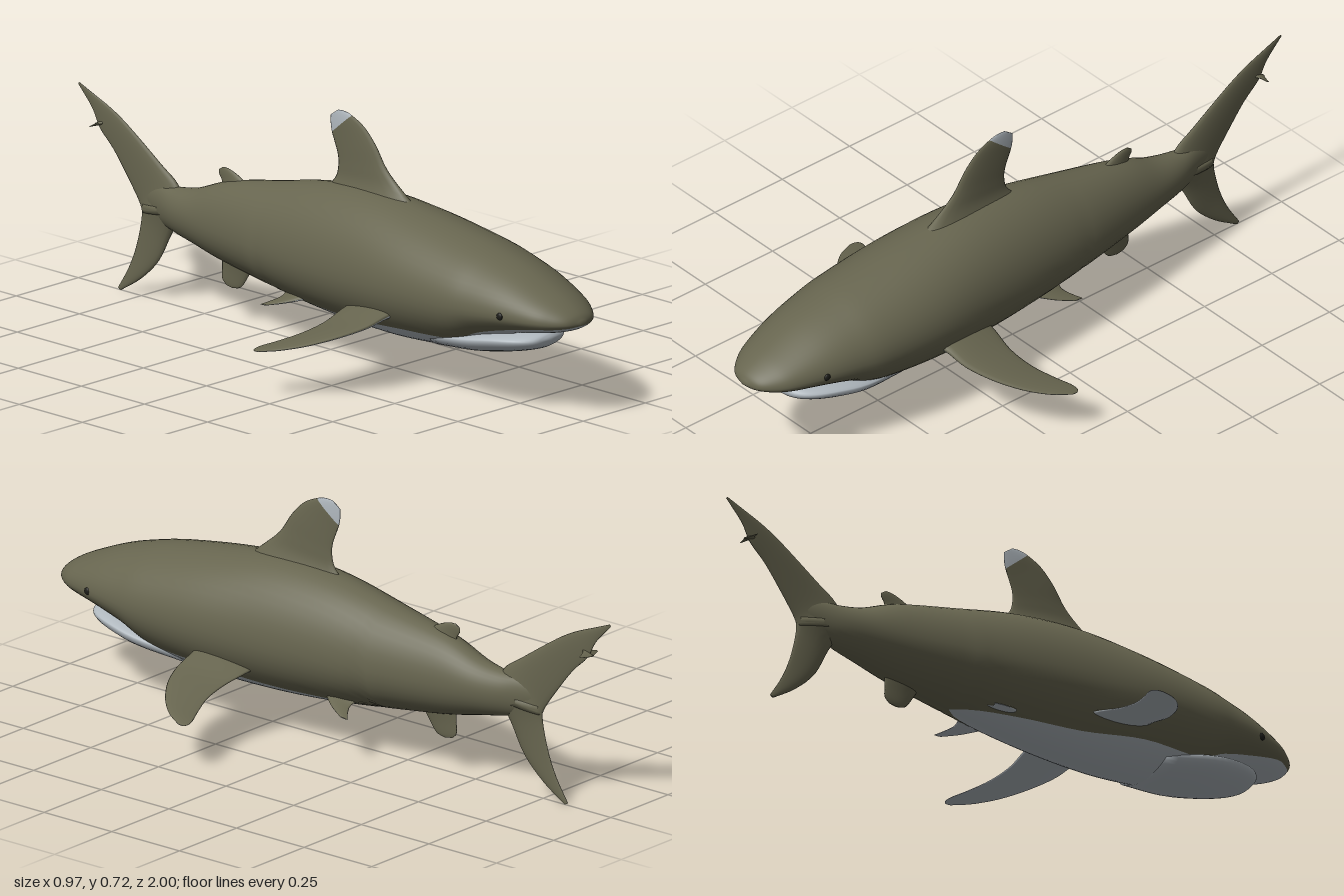
import * as THREE from 'three';
import { mergeVertices } from 'three/addons/utils/BufferGeometryUtils.js';

const material = (name, color) => Object.assign(new THREE.MeshStandardMaterial({ color }), { name });
const olive = material('olive skin', 0x67654f);
const pale = material('pale skin', 0xb0b8be);
const dark = material('dark eye', 0x1c1c18);

// Smoothly resample a table of rows
function resample(rows, steps) {
  const curve = new THREE.CubicInterpolant(rows.map((_, i) => i), rows.flat(), rows[0].length);
  const count = (rows.length - 1) * steps;
  return Array.from({ length: count + 1 }, (_, i) => Array.from(curve.evaluate(i / steps)));
}

// Skin a list of closed rings; pick(i, j) gives the material slot of each quad
function loft(name, rings, materials, pick = () => 0) {
  const n = rings[0].length, last = rings.length - 1;
  const points = rings.flat();
  const lists = materials.map(() => []);
  for (let i = 0; i < last; i++) {
    for (let j = 0; j < n; j++) {
      const a = i * n + j, b = i * n + (j + 1) % n;
      lists[pick(i, j)].push(a, a + n, b, b, a + n, b + n);
    }
  }
  // End caps
  for (const end of [0, last]) {
    const centre = rings[end].reduce((sum, p) => sum.add(p), new THREE.Vector3()).divideScalar(n);
    const c = points.push(centre) - 1;
    for (let j = 0; j < n; j++) {
      const a = end * n + j, b = end * n + (j + 1) % n;
      lists[pick(Math.min(end, last - 1), j)].push(...(end ? [a, c, b] : [a, b, c]));
    }
  }
  // Turn the faces outward if the enclosed volume is negative
  const index = lists.flat();
  let volume = 0;
  const cross = new THREE.Vector3();
  for (let k = 0; k < index.length; k += 3) {
    volume += points[index[k]].dot(cross.crossVectors(points[index[k + 1]], points[index[k + 2]]));
  }
  if (volume < 0) {
    for (let k = 0; k < index.length; k += 3) [index[k], index[k + 1]] = [index[k + 1], index[k]];
  }
  let geometry = new THREE.BufferGeometry().setFromPoints(points);
  geometry.setIndex(index);
  geometry = mergeVertices(geometry, 1e-5);
  let start = 0;
  lists.forEach((list, slot) => {
    geometry.addGroup(start, list.length, slot);
    start += list.length;
  });
  geometry.computeVertexNormals();
  const mesh = new THREE.Mesh(geometry, materials);
  mesh.name = name;
  return mesh;
}

// Body cross-section: full above the widest line, tapering to a keel below
function bodyPoint([z, top, bottom, mid, width], angle) {
  const s = Math.sin(angle), c = Math.cos(angle);
  const x = width * Math.sign(c) * Math.abs(c) ** (s > 0 ? 1.08 : 1.2);
  return new THREE.Vector3(x, mid + s * (s > 0 ? top - mid : mid - bottom), z);
}

// Ring whose first BACK segments lie above the colour line and the rest below
const BACK = 36, BELLY = 16;
function bodyRing(row) {
  const [, , bottom, mid, , line] = row;
  const edge = Math.asin(THREE.MathUtils.clamp((line - mid) / Math.max(mid - bottom, 1e-4), -1, 0));
  const ring = [];
  for (let j = 0; j < BACK; j++) ring.push(bodyPoint(row, edge + (Math.PI - 2 * edge) * j / BACK));
  for (let j = 0; j < BELLY; j++) {
    ring.push(bodyPoint(row, Math.PI - edge + (Math.PI + 2 * edge) * j / BELLY));
  }
  return ring;
}

// Fin rows: leading x, y, z, trailing x, y, z, half thickness
const SIDES = 20;
function fin(name, rows, thickDir, materials = [olive], pick, steps = 4) {
  const rings = resample(rows, steps).map(r => {
    const lead = new THREE.Vector3(r[0], r[1], r[2]), trail = new THREE.Vector3(r[3], r[4], r[5]);
    return Array.from({ length: SIDES }, (_, j) => {
      const a = j / SIDES * Math.PI * 2, t = (1 - Math.cos(a)) / 2;
      return lead.clone().lerp(trail, t).addScaledVector(thickDir, Math.sin(a) * r[6] * (1.2 - 0.6 * t));
    });
  });
  return loft(name, rings, materials, pick);
}
const X = new THREE.Vector3(1, 0, 0), Y = new THREE.Vector3(0, 1, 0);
// Upright fin rows: leading z, y, trailing z, y, half thickness
const upright = rows => rows.map(([lz, ly, tz, ty, h]) => [0, ly, lz, 0, ty, tz, h]);
// Side fin rows: x, leading y, z, trailing y, z, half thickness
const sideways = (rows, s) => rows.map(([x, ly, lz, ty, tz, h]) => [s * x, ly, lz, s * x, ty, tz, h]);

export function createModel() {
  const model = new THREE.Group();
  model.name = 'shark';

  // Body: z, top, bottom, widest height, half width, colour line
  const bodyRows = [
    [1.0, 0.296, 0.284, 0.29, 0.012, 0.284],
    [0.985, 0.317, 0.272, 0.291, 0.055, 0.28],
    [0.95, 0.341, 0.258, 0.292, 0.09, 0.276],
    [0.9, 0.366, 0.245, 0.295, 0.119, 0.272],
    [0.8, 0.408, 0.223, 0.3, 0.151, 0.252],
    [0.7, 0.438, 0.19, 0.3, 0.172, 0.226],
    [0.6, 0.461, 0.142, 0.3, 0.186, 0.188],
    [0.4, 0.493, 0.115, 0.3, 0.192, 0.178],
    [0.2, 0.512, 0.112, 0.298, 0.177, 0.157],
    [0, 0.498, 0.124, 0.295, 0.156, 0.152],
    [-0.2, 0.458, 0.148, 0.29, 0.127, 0.146],
    [-0.4, 0.415, 0.175, 0.288, 0.088, 0.12],
    [-0.52, 0.37, 0.2, 0.288, 0.064, 0.12],
    [-0.6, 0.354, 0.216, 0.289, 0.046, 0.12],
    [-0.67, 0.35, 0.235, 0.295, 0.025, 0.12],
    [-0.74, 0.33, 0.268, 0.3, 0.006, 0.12],
  ];
  model.add(loft('body', resample(bodyRows, 5).map(bodyRing), [olive, pale], (i, j) => (j < BACK ? 0 : 1)));

  // Lower jaw
  const jawRows = [
    [0.872, 0.222, 0.212, 0.217, 0.015, 0],
    [0.86, 0.234, 0.194, 0.216, 0.062, 0],
    [0.82, 0.238, 0.178, 0.215, 0.1, 0],
    [0.75, 0.233, 0.16, 0.21, 0.127, 0],
    [0.65, 0.218, 0.142, 0.195, 0.138, 0],
    [0.5, 0.19, 0.125, 0.17, 0.11, 0],
  ];
  model.add(loft('lowerJaw', resample(jawRows, 4).map(bodyRing), [pale]));

  // Dorsal fin with a pale tip
  model.add(fin('dorsalFin', upright([
    [0.37, 0.46, -0.05, 0.45, 0.05],
    [0.28, 0.53, 0.015, 0.51, 0.021],
    [0.222, 0.58, 0.03, 0.55, 0.014],
    [0.18, 0.64, 0.028, 0.585, 0.011],
    [0.135, 0.685, 0.015, 0.62, 0.008],
    [0.085, 0.71, 0.005, 0.645, 0.006],
    [0.055, 0.717, 0.0, 0.67, 0.004],
    [0.03, 0.716, 0.0, 0.695, 0.002],
  ]), X, [olive, pale], i => (i < 20 ? 0 : 1)));

  // Small rear fins above and below
  model.add(fin('rearDorsalFin', upright([
    [-0.3, 0.4, -0.44, 0.37, 0.016],
    [-0.36, 0.434, -0.43, 0.405, 0.009],
    [-0.4, 0.449, -0.442, 0.428, 0.005],
    [-0.425, 0.451, -0.443, 0.44, 0.002],
  ]), X));
  model.add(fin('analFin', upright([
    [-0.3, 0.19, -0.43, 0.19, 0.016],
    [-0.328, 0.145, -0.43, 0.155, 0.009],
    [-0.355, 0.11, -0.43, 0.122, 0.005],
    [-0.385, 0.101, -0.415, 0.106, 0.002],
  ]), X));

  // Tail lobes
  model.add(fin('upperTailLobe', upright([
    [-0.57, 0.28, -0.745, 0.25, 0.03],
    [-0.605, 0.358, -0.76, 0.28, 0.018],
    [-0.67, 0.405, -0.8, 0.335, 0.012],
    [-0.8, 0.492, -0.86, 0.41, 0.008],
    [-0.87, 0.53, -0.915, 0.462, 0.006],
    [-0.94, 0.558, -0.945, 0.515, 0.004],
    [-0.996, 0.58, -1.0, 0.574, 0.001],
  ]), X));
  model.add(fin('lowerTailLobe', upright([
    [-0.57, 0.3, -0.748, 0.275, 0.03],
    [-0.63, 0.21, -0.75, 0.225, 0.016],
    [-0.68, 0.12, -0.77, 0.145, 0.01],
    [-0.75, 0.053, -0.8, 0.075, 0.007],
    [-0.83, 0.002, -0.842, 0.008, 0.003],
  ]), X));

  for (const [s, side] of [[1, 'left'], [-1, 'right']]) {
    const underside = (i, j) => (j < SIDES / 2 ? 0 : 1);

    // Pectoral fin, pale beneath
    model.add(fin(side + 'PectoralFin', sideways([
      [0.1, 0.235, 0.43, 0.21, 0.2, 0.03],
      [0.17, 0.222, 0.402, 0.2, 0.208, 0.019],
      [0.25, 0.202, 0.392, 0.183, 0.22, 0.012],
      [0.33, 0.184, 0.36, 0.168, 0.213, 0.009],
      [0.4, 0.165, 0.31, 0.154, 0.188, 0.007],
      [0.45, 0.151, 0.255, 0.145, 0.166, 0.005],
      [0.474, 0.143, 0.212, 0.14, 0.163, 0.003],
      [0.484, 0.139, 0.19, 0.138, 0.172, 0.001],
    ], s), Y, [olive, pale], underside));

    // Pelvic fin, pale beneath
    model.add(fin(side + 'PelvicFin', sideways([
      [0.05, 0.18, 0.02, 0.17, -0.12, 0.014],
      [0.085, 0.166, -0.02, 0.155, -0.11, 0.009],
      [0.115, 0.151, -0.065, 0.144, -0.125, 0.005],
      [0.138, 0.138, -0.115, 0.135, -0.143, 0.002],
    ], s), Y, [olive, pale], underside));

    // Small spur at the tail notch
    model.add(fin(side + 'TailSpur', sideways([
      [0, 0.482, -0.895, 0.47, -0.935, 0.006],
      [0.015, 0.478, -0.908, 0.47, -0.928, 0.004],
      [0.037, 0.474, -0.915, 0.472, -0.921, 0.001],
    ], s), Y));

    // Eye
    const eye = new THREE.Mesh(new THREE.SphereGeometry(0.011, 16, 12), dark);
    eye.name = side + 'Eye';
    eye.scale.x = 0.5;
    eye.position.set(s * 0.146, 0.302, 0.812);
    model.add(eye);
  }
  return model;
}
